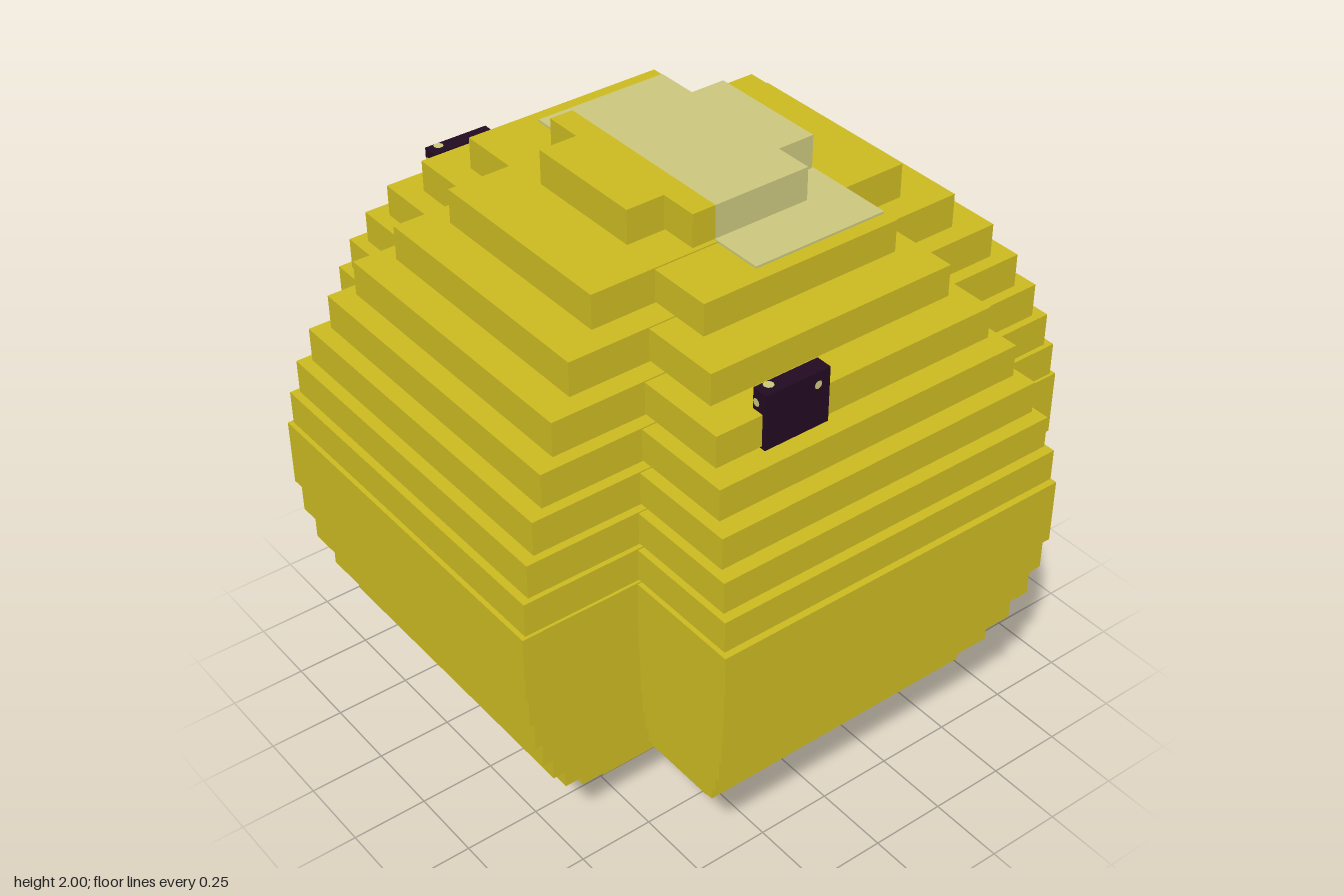
import * as THREE from 'three';

const material = (name, color) => {
  const m = new THREE.MeshStandardMaterial({ color });
  m.name = name;
  return m;
};

export function createModel() {
  const yellow = material('yellow', 0xcab921);
  const pale = material('pale yellow', 0xcac67e);
  const dark = material('dark purple', 0x220a22);
  const blue = material('blue', 0x3c48d0);

  const model = new THREE.Group();
  model.name = 'steppedBall';

  // box given by its limits on each axis
  function box(name, mat, [x0, x1], [y0, y1], [z0, z1], parent = model) {
    const mesh = new THREE.Mesh(new THREE.BoxGeometry(x1 - x0, y1 - y0, z1 - z0), mat);
    mesh.position.set((x0 + x1) / 2, (y0 + y1) / 2, (z0 + z1) / 2);
    mesh.name = name;
    parent.add(mesh);
  }

  // cross-shaped layers: a full-height bar along x and two slightly lower wings along z
  const reach = [0.33, 0.553, 0.69, 0.795, 0.865, 0.92, 0.96, 0.985, 1];
  const pitch = 2 / 18, gap = 0.004, split = -0.125;
  for (let i = 0; i < 18; i++) {
    const long = reach[Math.min(i, 17 - i)];
    const short = long * 0.616;
    const y0 = i === 0 ? 0.003 : i * pitch;
    const y1 = (i + 1) * pitch;
    const wingY = [
      i === 0 || i === 9 ? y0 : y0 + gap,
      i === 17 || i === 8 ? y1 : y1 - gap,
    ];
    const layer = new THREE.Group();
    layer.name = `layer${i + 1}`;
    model.add(layer);
    // the top layer is yellow on one side and pale on the other
    const parts = i === 17
      ? [[yellow, -Infinity, split], [pale, split, Infinity]]
      : [[yellow, -Infinity, Infinity]];
    for (const [mat, from, to] of parts) {
      const span = (r) => [Math.max(-r, from), Math.min(r, to)];
      box('bar', mat, span(long), [y0, y1], [-short, short], layer);
      box('frontWing', mat, span(short), wingY, [short, long], layer);
      box('backWing', mat, span(short), wingY, [-long, -short], layer);
    }
  }

  // pale patch lying on the second layer
  box('topPatch', pale, [split, 0.335], [1.884, 1.892], [-0.505, 0.505]);

  // blue patch underneath
  box('bottomPatch', blue, [-0.15, 0.15], [0, 0.006], [-0.1, 0.1]);

  // eyes on both sides, each face with a small glint
  const ex = [-0.335, -0.115], ey = [1.447, 1.73];
  for (const [name, z0, z1] of [['frontEye', 0.755, 0.808], ['backEye', -0.815, -0.762]]) {
    const eye = new THREE.Group();
    eye.name = name;
    model.add(eye);
    box('eyeBlock', dark, ex, ey, [z0, z1], eye);
    const glint = (x, y, z, r, rx, ry) => {
      const g = new THREE.Mesh(new THREE.CircleGeometry(r, 8), pale);
      g.position.set(x, y, z);
      g.rotation.set(rx, ry, 0);
      g.name = 'glint';
      eye.add(g);
    };
    const e = 0.002;
    glint(-0.157, 1.69, z1 + e, 0.013, 0, 0);
    glint(-0.293, 1.69, z0 - e, 0.013, 0, Math.PI);
    glint(ex[1] + e, 1.69, z1 - 0.015, 0.013, 0, Math.PI / 2);
    glint(ex[0] - e, 1.69, z0 + 0.015, 0.013, 0, -Math.PI / 2);
    glint(-0.298, ey[1] + e, z0 + 0.017, 0.016, -Math.PI / 2, 0);
  }

  return model;
}
